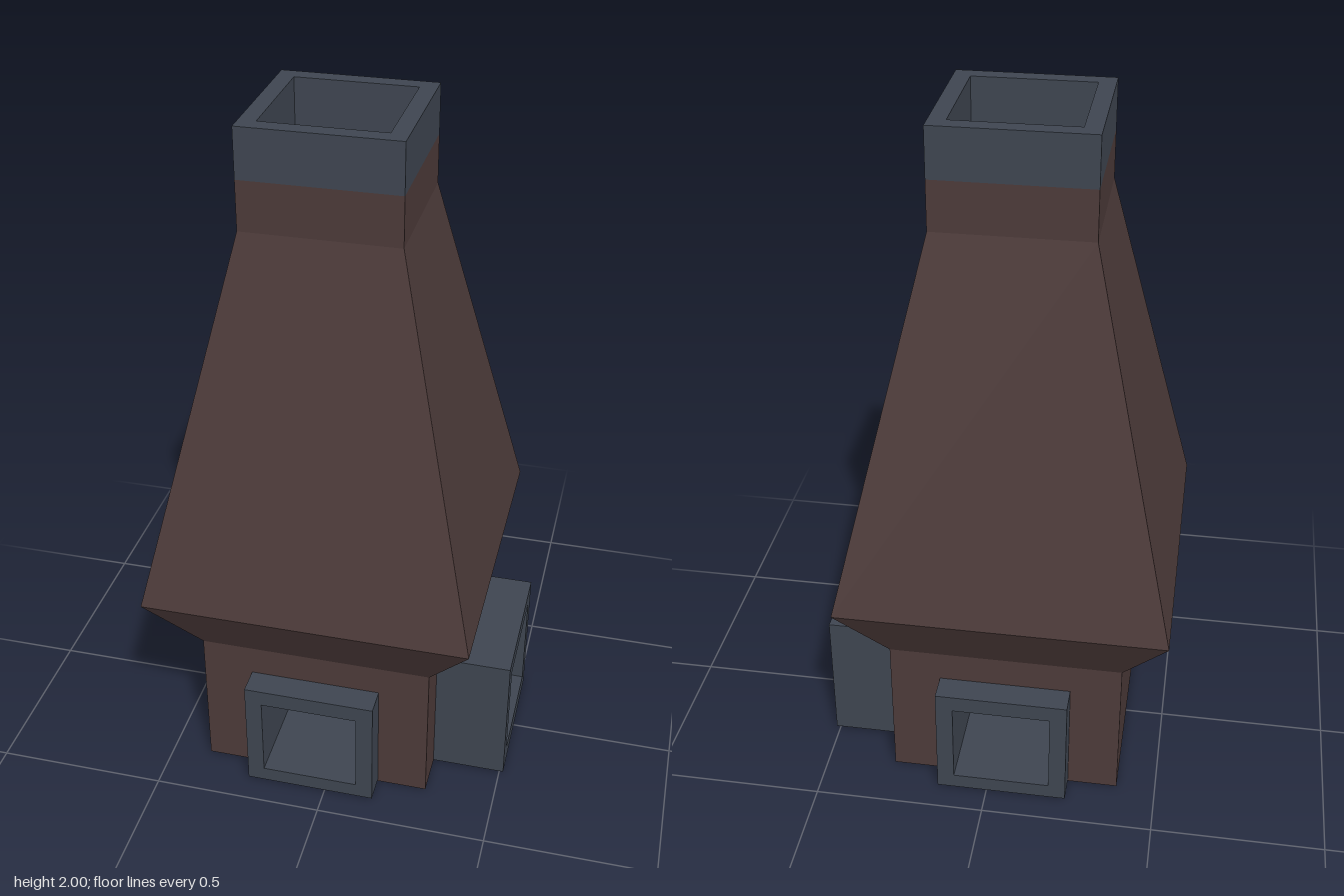
import * as THREE from 'three';

const CX = -0.045; // chimney axis

export function createModel() {
  const group = new THREE.Group();
  const brick = new THREE.MeshStandardMaterial({ color: 0x4c3a39 });
  brick.name = 'darkBrownBrick';
  const iron = new THREE.MeshStandardMaterial({ color: 0x3e4550 });
  iron.name = 'slateIron';

  const add = (name, geometry, material, x = 0, y = 0, z = 0) => {
    const mesh = new THREE.Mesh(geometry, material);
    mesh.name = name;
    mesh.position.set(x, y, z);
    group.add(mesh);
    return mesh;
  };

  // Rectangle with an optional rectangular hole: [left, right, bottom, top]
  const rect = (Type, [l, r, b, t]) => {
    const p = new Type();
    p.moveTo(l, b); p.lineTo(r, b); p.lineTo(r, t); p.lineTo(l, t); p.closePath();
    return p;
  };
  const panel = (outer, hole) => {
    const s = rect(THREE.Shape, outer);
    if (hole) s.holes.push(rect(THREE.Path, hole));
    return s;
  };
  const frame = (outer, hole, depth) =>
    new THREE.ExtrudeGeometry(panel(outer, hole), { depth, bevelEnabled: false });

  // Square tapered ring of walls between two heights
  const taper = (name, y0, half0, y1, half1) => {
    const g = new THREE.CylinderGeometry(half1 * Math.SQRT2, half0 * Math.SQRT2,
      y1 - y0, 4, 1, true, Math.PI / 4).toNonIndexed();
    g.computeVertexNormals();
    add(name, g, brick, CX, (y0 + y1) / 2, 0);
  };

  // Firebox walls, pierced for the ducts
  const H = 0.34, outer = [-H, H, 0, 0.445];
  const tunnelHole = [-0.1425, 0.1425, 0.05, 0.305];
  const portHole = [-0.165, 0.165, 0.06, 0.36];
  const holes = [tunnelHole, portHole, tunnelHole, null];
  ['frontWall', 'leftWall', 'backWall', 'rightWall'].forEach((name, i) => {
    const a = i * Math.PI / 2;
    const wall = add(name, new THREE.ShapeGeometry(panel(outer, holes[i])), brick,
      CX + Math.sin(a) * H, 0, Math.cos(a) * H);
    wall.rotation.y = a;
  });
  const base = add('baseFloor', new THREE.PlaneGeometry(2 * H, 2 * H), brick, CX, 0, 0);
  base.rotation.x = Math.PI / 2;

  // Flared hood and neck
  taper('hoodFlare', 0.445, H, 0.65, 0.47);
  taper('hood', 0.65, 0.47, 1.72, 0.218);
  taper('neck', 1.72, 0.218, 1.86, 0.218);

  // Duct running straight through from front to back
  add('throughDuct', frame([-0.1925, 0.1925, 0.005, 0.355], tunnelHole, 0.84),
    iron, CX, 0, -0.42);

  // Side port with a closed inner end
  const port = add('sidePort', frame([-0.215, 0.215, 0.003, 0.41], portHole, 0.36),
    iron, 0.152, 0, 0);
  port.rotation.y = Math.PI / 2;
  add('sidePortEnd', new THREE.BoxGeometry(0.008, 0.34, 0.38), iron, 0.156, 0.21, 0);

  // Chimney cap with a recessed flue
  const square = (h) => [-h, h, -h, h];
  const cap = add('chimneyCap', frame(square(0.218), square(0.17), 0.14), iron, CX, 1.86, 0);
  const flue = add('flueLiner', frame(square(0.2), square(0.17), 0.14), iron, CX, 1.72, 0);
  cap.rotation.x = flue.rotation.x = -Math.PI / 2;
  add('flueFloor', new THREE.BoxGeometry(0.4, 0.008, 0.4), iron, CX, 1.72, 0);

  return group;
}
